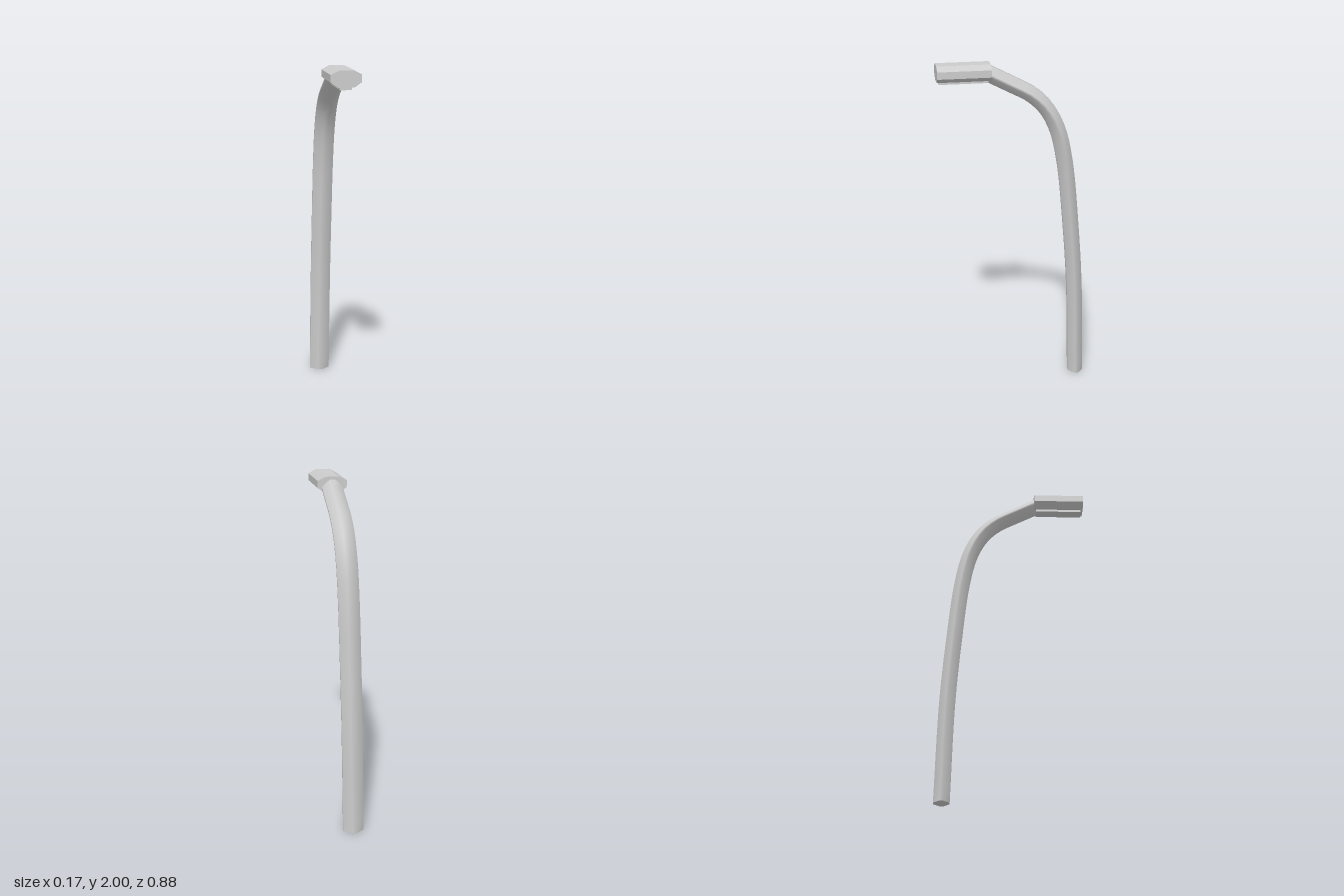
import * as THREE from 'three';

const material = new THREE.MeshStandardMaterial({ color: 0xcccccc });
const flatMaterial = new THREE.MeshStandardMaterial({ color: 0xcccccc, flatShading: true });

// Flattened octagon swept along the bent centre line, one ring per step
function poleGeometry() {
  const path = new THREE.CatmullRomCurve3([
    [0, -0.395], [0.6, -0.377], [1.0, -0.347], [1.4, -0.303], [1.6, -0.255],
    [1.73, -0.185], [1.81, -0.1], [1.865, 0], [1.943, 0.15],
  ].map(([y, z]) => new THREE.Vector3(-0.017 * Math.max(0, 1 - y / 1.8), y, z)));
  const section = [
    [0.061, 0.007], [0.015, 0.046], [-0.015, 0.046], [-0.061, 0.007],
    [-0.061, -0.007], [-0.015, -0.046], [0.015, -0.046], [0.061, -0.007],
  ];
  const n = section.length, steps = 40;
  const positions = [], index = [];
  for (let i = 0; i <= steps; i++) {
    const p = path.getPointAt(i / steps);
    const t = path.getTangentAt(i / steps);
    // The foot is cut level; every other ring is square to the path
    const a = i === 0 ? 0 : Math.atan2(t.z, t.y);
    for (const [u, v] of section) {
      positions.push(p.x + u, p.y - v * Math.sin(a), p.z + v * Math.cos(a));
    }
  }
  for (let i = 0; i < steps; i++) {
    for (let j = 0; j < n; j++) {
      const k = (j + 1) % n;
      const a = i * n + j, b = i * n + k, c = a + n, d = b + n;
      index.push(a, c, b, b, c, d);
    }
  }
  // Separate cap vertices keep the end edges sharp
  for (const ring of [0, steps]) {
    const start = positions.length / 3;
    positions.push(...positions.slice(ring * n * 3, (ring + 1) * n * 3));
    for (let j = 1; j < n - 1; j++) {
      if (ring === 0) index.push(start, start + j, start + j + 1);
      else index.push(start, start + j + 1, start + j);
    }
  }
  const g = new THREE.BufferGeometry();
  g.setAttribute('position', new THREE.Float32BufferAttribute(positions, 3));
  g.setIndex(index);
  g.computeVertexNormals();
  return g;
}

export function createModel() {
  const group = new THREE.Group();

  const pole = new THREE.Mesh(poleGeometry(), material);
  pole.name = 'pole';
  group.add(pole);

  // Lamp housing: eight-sided profile extruded forward
  const profile = [
    [0.04, 2.0], [-0.04, 2.0], [-0.086, 1.977], [-0.086, 1.936],
    [-0.045, 1.907], [0.045, 1.907], [0.086, 1.936], [0.086, 1.977],
  ].map(([x, y]) => new THREE.Vector2(x, y));
  const housing = new THREE.Mesh(
    new THREE.ExtrudeGeometry(new THREE.Shape(profile), { depth: 0.305, bevelEnabled: false }),
    flatMaterial);
  housing.position.z = 0.135;
  housing.name = 'lampHousing';
  group.add(housing);

  // Light panel under the housing
  const panel = new THREE.Mesh(new THREE.BoxGeometry(0.066, 0.025, 0.28), flatMaterial);
  panel.position.set(0, 1.905, 0.288);
  panel.name = 'lightPanel';
  group.add(panel);

  return group;
}
